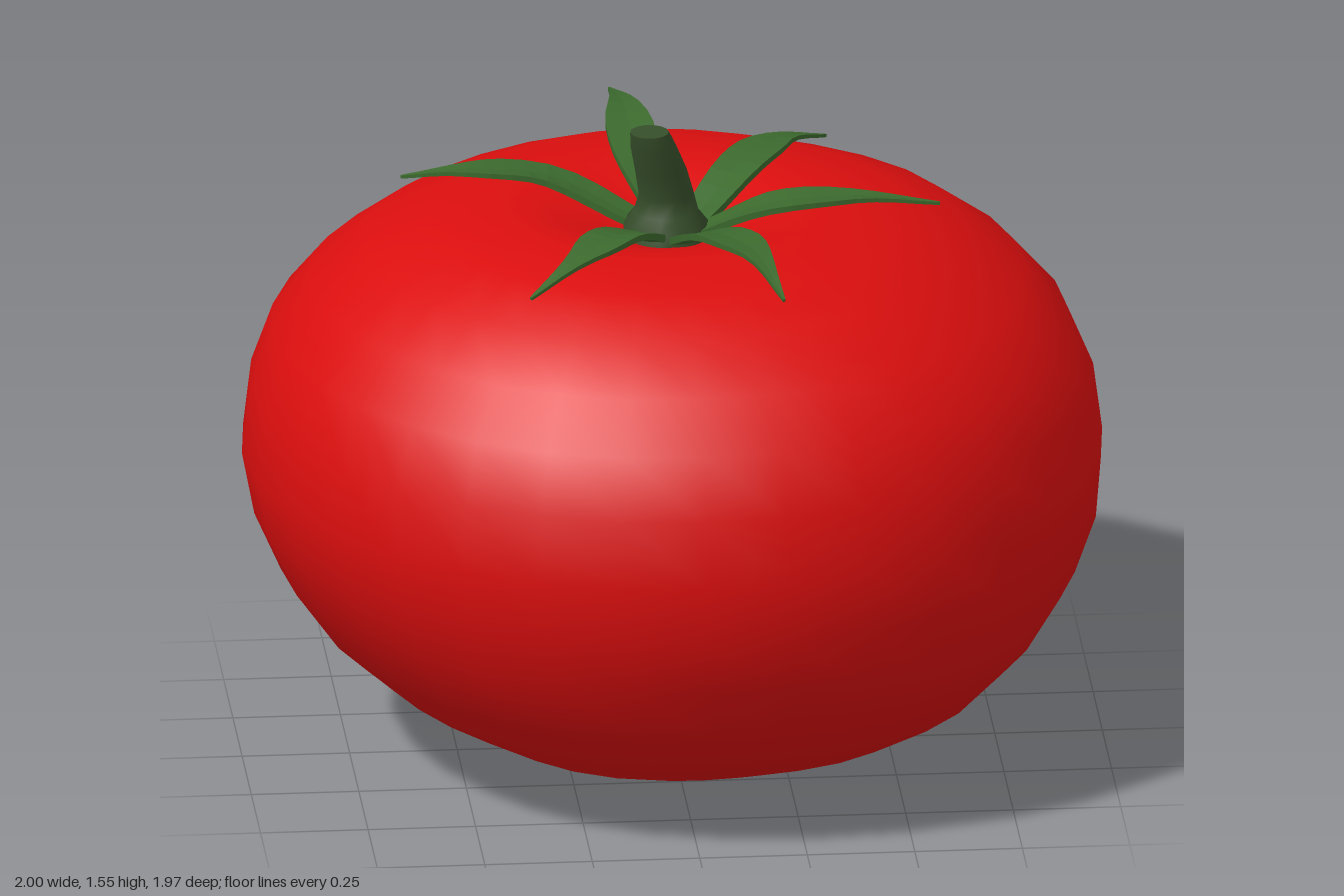
import * as THREE from 'three';
import { mergeVertices } from 'three/addons/utils/BufferGeometryUtils.js';

const red = new THREE.MeshStandardMaterial({ color: 0xdb0e0e });
red.name = 'tomatoRed';
const leafGreen = new THREE.MeshStandardMaterial({ color: 0x3c6a2e });
leafGreen.name = 'leafGreen';
const stemGreen = new THREE.MeshStandardMaterial({ color: 0x374f2b });
stemGreen.name = 'stemGreen';

// Skin a list of closed rings (arrays of Vector3) and close both ends
function loft(rings) {
  const n = rings[0].length, pos = [], idx = [];
  rings.forEach(r => r.forEach(p => pos.push(p.x, p.y, p.z)));
  for (let i = 0; i < rings.length - 1; i++) {
    for (let j = 0; j < n; j++) {
      const a = i * n + j, b = i * n + (j + 1) % n;
      idx.push(a, a + n, b, b, a + n, b + n);
    }
  }
  // End caps have their own vertices so their rims stay sharp
  [rings[0], rings[rings.length - 1]].forEach((ring, end) => {
    const s = pos.length / 3;
    ring.forEach(p => pos.push(p.x, p.y, p.z));
    for (let j = 1; j < n - 1; j++) idx.push(s, s + j + (end ? 1 : 0), s + j + (end ? 0 : 1));
  });
  const g = new THREE.BufferGeometry();
  g.setAttribute('position', new THREE.Float32BufferAttribute(pos, 3));
  g.setIndex(idx);
  return g;
}

// Squat fruit with a dimpled top and faint lobes
function makeFruit() {
  const profile = [
    [0, 0.01], [0.2, 0.02], [0.38, 0.055], [0.55, 0.12], [0.71, 0.21], [0.835, 0.33],
    [0.925, 0.47], [0.98, 0.61], [1, 0.76], [0.98, 0.92], [0.925, 1.06], [0.83, 1.17],
    [0.7, 1.265], [0.55, 1.325], [0.38, 1.35], [0.27, 1.335], [0.17, 1.3], [0.08, 1.265], [0, 1.255],
  ].map(p => new THREE.Vector2(...p));
  let g = new THREE.LatheGeometry(profile, 32);
  const p = g.attributes.position;
  for (let i = 0; i < p.count; i++) {
    const x = p.getX(i), y = p.getY(i), z = p.getZ(i);
    const away = Math.min(1, Math.abs(y - 0.8) / 0.6) ** 2;
    const lobe = 1 + 0.018 * away * Math.cos(5 * (Math.atan2(z, x) - Math.PI / 4));
    const shift = y < 0.76 ? 0.05 * (1 - y / 0.76) : -0.015 * away;
    p.setXYZ(i, x * lobe + shift, y, z * lobe * 0.985 - 0.005);
  }
  g.deleteAttribute('uv');
  g.deleteAttribute('normal');
  g = mergeVertices(g, 1e-4);
  g.computeVertexNormals();
  return g;
}

// Leaning stalk with a flared foot and a cut end
function makeStem() {
  const sections = [ // x, y, z, radius
    [-0.015, 1.24, 0, 0.1], [-0.015, 1.305, 0, 0.098], [-0.015, 1.335, 0, 0.075],
    [-0.015, 1.38, 0.012, 0.064], [-0.03, 1.45, 0.04, 0.06],
    [-0.05, 1.52, 0.07, 0.053], [-0.06, 1.56, 0.085, 0.045],
  ];
  const g = loft(sections.map(([x, y, z, r]) => Array.from({ length: 14 }, (_, j) => {
    const a = j / 14 * Math.PI * 2;
    return new THREE.Vector3(x + r * Math.cos(a), y, z + r * Math.sin(a));
  })));
  g.computeVertexNormals();
  return g;
}

// Thin arching sepal, gently grooved along its middle
function makeSepal(points) {
  const curve = new THREE.CatmullRomCurve3(points.map(p => new THREE.Vector3(...p)));
  const steps = 12, rings = [];
  for (let i = 0; i <= steps; i++) {
    const t = i / steps, c = curve.getPoint(t), d = curve.getTangent(t);
    const side = new THREE.Vector3(-d.z, 0, d.x).normalize();
    const up = side.clone().cross(d).normalize();
    if (up.y < 0) up.negate();
    const w = (0.034 + 0.02 * Math.sin(Math.PI * Math.min(1, t * 1.25))) * Math.min(1, (1 - t) * 2.2) + 0.003;
    const h = 0.009 * (1 - 0.6 * t);
    const at = (s, u) => c.clone().addScaledVector(side, s).addScaledVector(up, u);
    rings.push([at(-w, h), at(0, h - 0.1 * w), at(w, h), at(w, -h), at(0, -h - 0.1 * w), at(-w, -h)].reverse());
  }
  const g = loft(rings).toNonIndexed();
  g.computeVertexNormals();
  return g;
}

export function createModel() {
  const model = new THREE.Group();
  model.name = 'tomato';
  const add = (geometry, material, name, parent = model) => {
    const mesh = new THREE.Mesh(geometry, material);
    mesh.name = name;
    parent.add(mesh);
  };
  add(makeFruit(), red, 'fruit');
  add(makeStem(), stemGreen, 'stem');

  // Six sepals around the stem
  const calyx = new THREE.Group();
  calyx.name = 'calyx';
  model.add(calyx);
  const sepals = [
    [[-0.07, 1.29, -0.04], [-0.28, 1.385, -0.11], [-0.47, 1.412, -0.095], [-0.62, 1.385, -0.13]],
    [[-0.01, 1.29, -0.08], [-0.06, 1.385, -0.25], [-0.075, 1.425, -0.46], [-0.09, 1.385, -0.66]],
    [[0.06, 1.29, -0.05], [0.18, 1.365, -0.21], [0.28, 1.365, -0.36], [0.4, 1.31, -0.51]],
    [[0.07, 1.29, 0.02], [0.22, 1.36, 0.05], [0.42, 1.365, 0.03], [0.62, 1.34, 0.03]],
    [[0.02, 1.29, 0.08], [0.09, 1.375, 0.28], [0.16, 1.38, 0.42], [0.21, 1.325, 0.59]],
    [[-0.05, 1.29, 0.06], [-0.15, 1.37, 0.25], [-0.24, 1.365, 0.37], [-0.37, 1.31, 0.49]],
  ];
  sepals.forEach((path, i) => add(makeSepal(path), leafGreen, `sepal${i + 1}`, calyx));
  return model;
}
